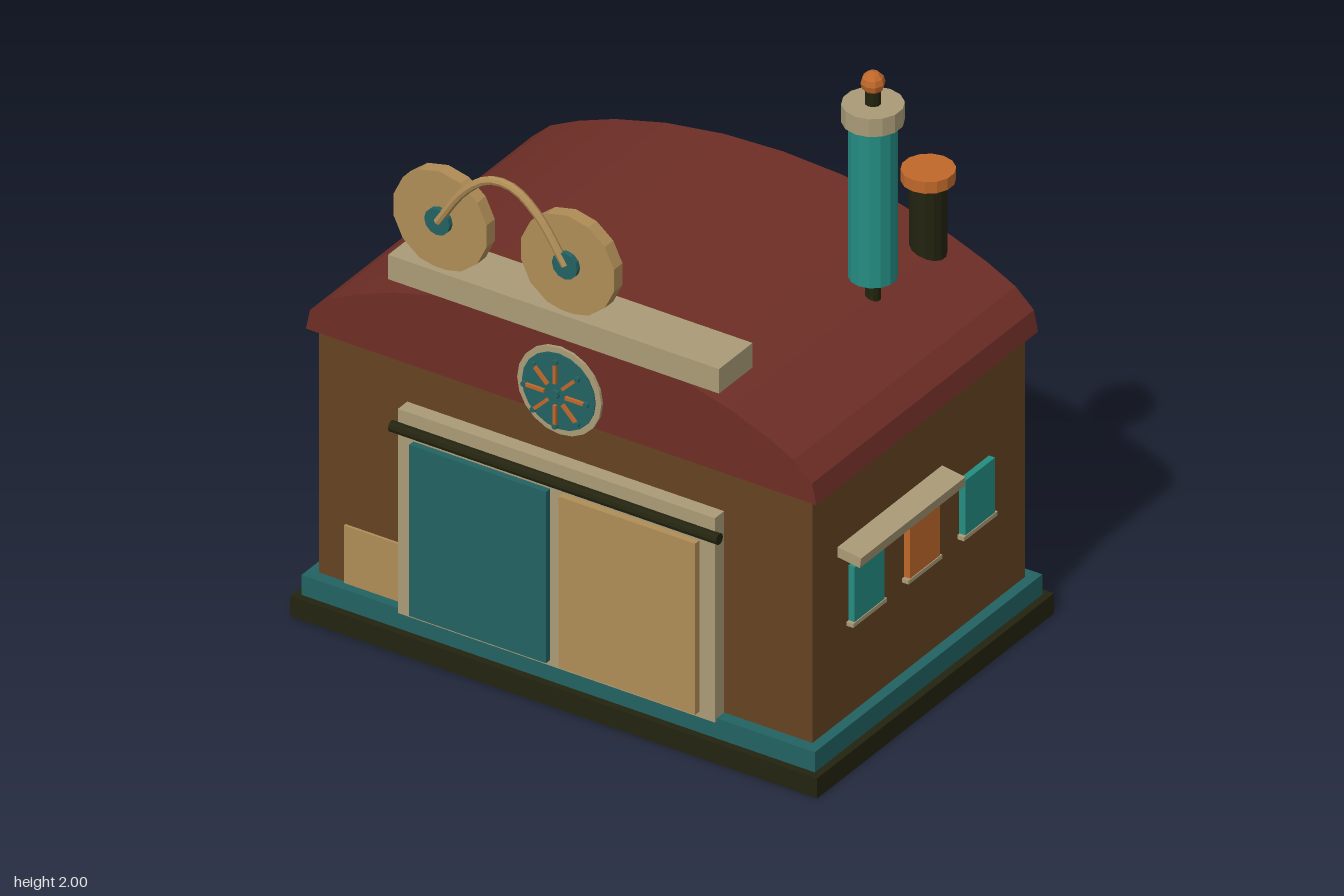
import * as THREE from 'three';

const flat = (name, color) => new THREE.MeshStandardMaterial({ name, color, flatShading: true });

export function createModel() {
  const root = new THREE.Group();
  root.name = 'workshop';
  const M = {
    brown: flat('brown wall', 0x654321),
    red: flat('roof red', 0x6e2e26),
    black: flat('iron black', 0x232310),
    darkTeal: flat('dark teal', 0x236262),
    teal: flat('bright teal', 0x248c82),
    cream: flat('stone cream', 0xaa9b77),
    tan: flat('bronze tan', 0xb08d57),
    orange: flat('copper orange', 0xc0682a),
    night: flat('night blue', 0x0d3035),
  };
  const add = (name, geo, mat, x = 0, y = 0, z = 0, parent = root) => {
    const m = new THREE.Mesh(geo, mat);
    m.name = name;
    m.position.set(x, y, z);
    parent.add(m);
    return m;
  };
  // box from its minimum and maximum corners
  const box = (name, mat, x0, x1, y0, y1, z0, z1, parent = root) =>
    add(name, new THREE.BoxGeometry(x1 - x0, y1 - y0, z1 - z0), mat,
      (x0 + x1) / 2, (y0 + y1) / 2, (z0 + z1) / 2, parent);
  // upright cylinder between two heights
  const post = (name, mat, r, y0, y1, x, z, n = 14) =>
    add(name, new THREE.CylinderGeometry(r, r, y1 - y0, n), mat, x, (y0 + y1) / 2, z);
  // disc or rod lying along z or x
  const discZ = (name, mat, r, depth, x, y, z, n = 16, parent = root) =>
    add(name, new THREE.CylinderGeometry(r, r, depth, n).rotateX(Math.PI / 2), mat, x, y, z, parent);
  const rodX = (name, mat, r, len, y, z) =>
    add(name, new THREE.CylinderGeometry(r, r, len, 10).rotateZ(Math.PI / 2), mat, 0, y, z);

  // Base and walls
  box('base', M.black, -0.94, 0.94, 0, 0.07, -0.635, 0.635);
  box('plinth', M.darkTeal, -0.915, 0.915, 0.07, 0.14, -0.61, 0.61);
  box('walls', M.brown, -0.88, 0.88, 0.14, 0.975, -0.57, 0.57);

  // Arched roof
  const half = [[0.91, 0.99], [0.895, 1.06], [0.83, 1.12], [0.73, 1.17], [0.6, 1.22],
    [0.42, 1.268], [0.21, 1.3]];
  const profile = [...half, [0, 1.31], ...half.map(([x, y]) => [-x, y]).reverse()];
  const roofShape = new THREE.Shape(profile.map(([x, y]) => new THREE.Vector2(x, y)));
  add('roof', new THREE.ExtrudeGeometry(roofShape, { depth: 1.19, bevelEnabled: false }),
    M.red, 0, 0, -0.595);
  for (const s of [-1, 1]) discZ('roofSupport', M.cream, 0.015, 0.08, s * 0.635, 0.98, -0.53, 8);

  // Front doors, frame and sliding rail
  box('doorFrame', M.cream, -0.565, 0.565, 0.13, 0.84, 0.57, 0.62);
  box('leftLeafDoor', M.darkTeal, -0.51, -0.022, 0.15, 0.745, 0.62, 0.643);
  box('rightLeafDoor', M.tan, 0.022, 0.51, 0.15, 0.745, 0.62, 0.643);
  rodX('doorRail', M.black, 0.019, 1.17, 0.777, 0.625);
  box('wallPanel', M.tan, -0.785, -0.565, 0.14, 0.34, 0.57, 0.579);

  // Back window with posts and rod
  box('backWindow', M.night, -0.47, 0.47, 0.19, 0.635, -0.6, -0.57);
  box('backDivider', M.darkTeal, -0.01, 0.01, 0.19, 0.635, -0.607, -0.6);
  for (const s of [-1, 1]) {
    box('backPost', M.cream, s * 0.485 - 0.018, s * 0.485 + 0.018, 0.185, 0.655, -0.625, -0.57);
  }
  rodX('backRod', M.cream, 0.017, 1.01, 0.665, -0.615);

  // Round dials with spokes and studs
  const dial = (name, r, y, z, turn) => {
    const g = new THREE.Group();
    g.name = name;
    g.position.set(0, y, z);
    g.rotation.y = turn;
    root.add(g);
    discZ('dialRim', M.cream, r, 0.016, 0, 0, 0, 20, g);
    discZ('dialFace', M.darkTeal, r * 0.87, 0.006, 0, 0, 0.009, 20, g);
    discZ('dialHub', M.darkTeal, r * 0.1, 0.012, 0, 0, 0.031, 8, g);
    for (let i = 0; i < 8; i++) {
      const a = (i * Math.PI) / 4;
      const spoke = add('dialSpoke', new THREE.BoxGeometry(r * 0.44, 0.011, 0.009), M.orange,
        Math.cos(a) * r * 0.47, Math.sin(a) * r * 0.47, 0.031, g);
      spoke.rotation.z = a;
      discZ('dialStud', M.darkTeal, r * 0.06, 0.012, Math.cos(a) * r * 0.74,
        Math.sin(a) * r * 0.74, 0.031, 8, g);
    }
  };
  dial('frontDial', 0.15, 1.085, 0.597, 0);
  dial('backDial', 0.122, 0.855, -0.597, Math.PI);

  // Side windows, sills and awnings
  for (const s of [-1, 1]) {
    for (const k of [-1, 0, 1]) {
      const z = k * 0.297;
      add('sideWindow', new THREE.BoxGeometry(0.022, 0.19, 0.16), k ? M.teal : M.orange,
        s * 0.891, 0.565, z);
      add('windowSill', new THREE.BoxGeometry(0.024, 0.014, 0.18), M.cream, s * 0.892, 0.462, z);
    }
    const awning = add('awning', new THREE.BoxGeometry(0.09, 0.035, 0.56), M.cream,
      s * 0.917, 0.73, s > 0 ? 0.155 : -0.2);
    awning.rotation.z = -s * 0.14;
  }

  // Roof sign: beam, two wheels and an arched bar
  box('signBeam', M.cream, -0.59, 0.59, 1.29, 1.375, 0.455, 0.635);
  for (const x of [-0.42, 0.035]) {
    discZ('signWheel', M.tan, 0.17, 0.045, x, 1.54, 0.59, 14);
    discZ('wheelHub', M.darkTeal, 0.045, 0.02, x, 1.543, 0.62, 12);
  }
  const arc = new THREE.CatmullRomCurve3([[-0.42, 1.543], [-0.33, 1.675], [-0.25, 1.742],
    [-0.193, 1.755], [-0.135, 1.742], [-0.055, 1.675], [0.035, 1.543]]
    .map(([x, y]) => new THREE.Vector3(x, y, 0.624)));
  add('signArch', new THREE.TubeGeometry(arc, 18, 0.014, 8), M.tan);

  // Tall chimney with cap and ball
  post('chimneyPole', M.black, 0.025, 1.2, 1.94, 0.597, -0.18, 10);
  post('chimney', M.teal, 0.075, 1.29, 1.83, 0.597, -0.18);
  post('chimneyCap', M.cream, 0.095, 1.828, 1.89, 0.597, -0.18);
  add('chimneyBall', new THREE.SphereGeometry(0.038, 8, 6), M.orange, 0.597, 1.962, -0.18);

  // Short stove pipe
  post('stovePipe', M.black, 0.057, 0.97, 1.46, 0.585, -0.495);
  post('stovePipeCap', M.orange, 0.083, 1.46, 1.5, 0.585, -0.495);

  return root;
}
